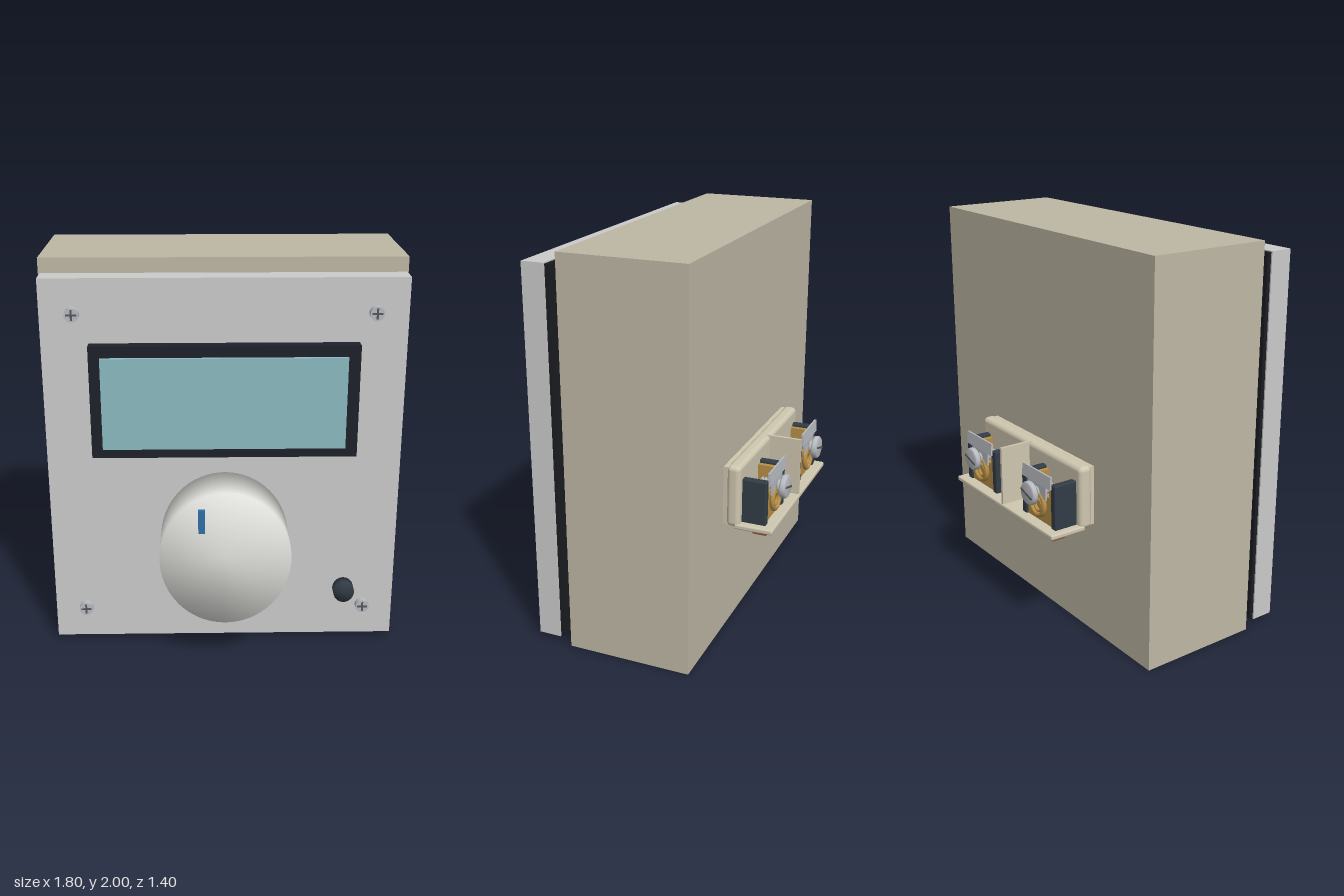
import * as THREE from 'three';
import { RoundedBoxGeometry } from 'three/addons/geometries/RoundedBoxGeometry.js';

const mat = (color) => new THREE.MeshStandardMaterial({ color });
const M = {
  beige: mat(0xbeb8a5), cream: mat(0xcfc7b0), grey: mat(0xcccccc), black: mat(0x1b1d22),
  bezel: mat(0x1e212b), screen: mat(0x8bbcc0), knob: mat(0xe2e2de), blue: mat(0x2f6ea8),
  slate: mat(0x323c46), gold: mat(0xb89048), copper: mat(0xb0683a), brown: mat(0x8e5230),
  steel: mat(0xb8bbc0), slot: mat(0x55585c),
};

function add(parent, name, geometry, material, x = 0, y = 0, z = 0) {
  const mesh = new THREE.Mesh(geometry, material);
  mesh.name = name;
  mesh.position.set(x, y, z);
  parent.add(mesh);
  return mesh;
}

// Box given by its limits on each axis
function box(parent, name, material, [x0, x1], [y0, y1], [z0, z1], radius = 0) {
  const size = [x1 - x0, y1 - y0, z1 - z0];
  const geometry = radius ? new RoundedBoxGeometry(...size, 3, radius) : new THREE.BoxGeometry(...size);
  return add(parent, name, geometry, material, (x0 + x1) / 2, (y0 + y1) / 2, (z0 + z1) / 2);
}

// Cylinder lying along z between z0 and z1
function rod(parent, name, material, r, x, y, z0, z1, sides = 28) {
  const geometry = new THREE.CylinderGeometry(r, r, z1 - z0, sides).rotateX(Math.PI / 2);
  return add(parent, name, geometry, material, x, y, (z0 + z1) / 2);
}

// Solid turned about z whose normals blend over the rim
function softDisc(parent, name, material, rx, ry, x, y, z0, z1) {
  const h = z1 - z0;
  const profile = [[0, 0], [1, 0], [1, h], [0, h]].map((p) => new THREE.Vector2(...p));
  const geometry = new THREE.LatheGeometry(profile, 64).rotateX(Math.PI / 2);
  const mesh = add(parent, name, geometry, material, x, y, z0);
  mesh.scale.set(rx, ry, 1);
  return mesh;
}

// Front panel screw with a cross recess
function panelScrew(x, y) {
  const g = new THREE.Group();
  g.name = 'panelScrew';
  rod(g, 'screwHead', M.steel, 0.035, x, y, 0.4, 0.437);
  box(g, 'crossBar', M.slot, [x - 0.026, x + 0.026], [y - 0.005, y + 0.005], [0.43, 0.438]);
  box(g, 'crossPost', M.slot, [x - 0.005, x + 0.005], [y - 0.026, y + 0.026], [0.43, 0.438]);
  return g;
}

// One screw terminal, built about x = 0
function terminal() {
  const g = new THREE.Group();
  g.name = 'screwTerminal';
  for (const s of [-1, 1]) {
    const cheek = box(g, 'sideCheek', M.slate, [-0.02, 0.02], [0.61, 0.845], [-0.63, -0.5], 0.008);
    cheek.position.x = s * 0.13;
    const strip = box(g, 'contactStrip', M.gold, [-0.013, 0.013], [0.61, 0.83], [-0.62, -0.5]);
    strip.position.x = s * 0.098;
  }
  box(g, 'clampBlock', M.steel, [-0.085, 0.085], [0.61, 0.73], [-0.6, -0.5]);
  box(g, 'contactFace', M.gold, [-0.085, 0.085], [0.61, 0.76], [-0.62, -0.6]);
  box(g, 'labelTag', M.steel, [-0.125, 0.125], [0.82, 0.885], [-0.64, -0.63]).rotation.x = 0.08;
  box(g, 'tagLeaf', M.steel, [-0.08, 0.08], [0.75, 0.83], [-0.638, -0.63]);

  // Wire clamp loops below the screw head
  add(g, 'clampRing', new THREE.TorusGeometry(0.06, 0.013, 10, 28), M.gold, 0, 0.71, -0.633);
  add(g, 'innerRing', new THREE.TorusGeometry(0.032, 0.009, 10, 24), M.gold, 0, 0.7, -0.628);

  // Clamp screw with thread
  const y = 0.775;
  rod(g, 'screwShaft', M.steel, 0.02, 0, y, -0.67, -0.55, 18);
  for (let i = 0; i < 6; i++) {
    const ring = add(g, 'threadRing', new THREE.TorusGeometry(0.023, 0.008, 8, 20), M.steel, 0, y, -0.56 - i * 0.017);
    ring.rotation.y = 0.15;
  }
  rod(g, 'screwCollar', M.steel, 0.04, 0, y, -0.67, -0.655);
  const head = add(g, 'screwHead', new THREE.LatheGeometry(
    [[0, 0], [0.058, 0], [0.06, 0.006], [0.06, 0.024], [0.052, 0.032], [0, 0.034]]
      .map((p) => new THREE.Vector2(...p)), 32).rotateX(-Math.PI / 2), M.steel, 0, y, -0.664);
  const slot = add(g, 'screwSlot', new THREE.BoxGeometry(0.1, 0.01, 0.006), M.slot, 0, y, -0.697);
  slot.rotation.z = 0.3;

  // Wire entry under the lip
  box(g, 'wireEntry', M.brown, [-0.12, 0.12], [0.545, 0.6], [-0.625, -0.555]);
  return g;
}

export function createModel() {
  const model = new THREE.Group();
  model.name = 'wallController';

  // Housing and front plates
  box(model, 'housing', M.beige, [-0.9, 0.9], [0, 2], [-0.418, 0.217]);
  box(model, 'circuitBoard', M.black, [-0.873, 0.873], [0.03, 1.935], [0.267, 0.29]);
  box(model, 'frontPanel', M.grey, [-0.88, 0.88], [0.025, 1.94], [0.288, 0.405]);

  // Parts in the gap behind the board
  box(model, 'relay', M.black, [0.21, 0.55], [0.48, 0.9], [0.21, 0.27]);
  box(model, 'lowerChip', M.bezel, [0.22, 0.54], [0.905, 1.06], [0.21, 0.252]);
  box(model, 'upperChip', M.bezel, [0.22, 0.54], [1.22, 1.375], [0.21, 0.252]);
  add(model, 'coil', new THREE.CylinderGeometry(0.045, 0.045, 0.22, 24), M.copper, -0.463, 0.37, 0.272);

  // Display
  box(model, 'displayBezel', M.bezel, [-0.65, 0.65], [1.06, 1.625], [0.4, 0.469]);
  box(model, 'displayScreen', M.screen, [-0.595, 0.59], [1.11, 1.57], [0.46, 0.487]);

  // Knob, pointer and button
  softDisc(model, 'knob', M.knob, 0.323, 0.354, 0, 0.605, 0.417, 0.675);
  box(model, 'knobPointer', M.blue, [-0.132, -0.1], [0.755, 0.875], [0.67, 0.7]);
  softDisc(model, 'button', M.slate, 0.053, 0.058, 0.61, 0.33, 0.469, 0.52);

  for (const x of [-0.723, 0.723]) for (const y of [0.196, 1.77]) model.add(panelScrew(x, y));

  // Rear terminal strip
  const strip = new THREE.Group();
  strip.name = 'terminalStrip';
  box(strip, 'stripFoot', M.cream, [-0.455, 0.455], [0.605, 0.91], [-0.45, -0.41]);
  box(strip, 'stripPlate', M.cream, [-0.468, 0.465], [0.595, 0.92], [-0.506, -0.435], 0.025);
  box(strip, 'stripLip', M.cream, [-0.468, 0.465], [0.588, 0.614], [-0.677, -0.48], 0.008);
  box(strip, 'divider', M.cream, [-0.01, 0.005], [0.6, 0.92], [-0.672, -0.48]);
  for (const x of [-0.28, 0.275]) {
    const t = terminal();
    t.position.x = x;
    strip.add(t);
  }
  model.add(strip);
  return model;
}
